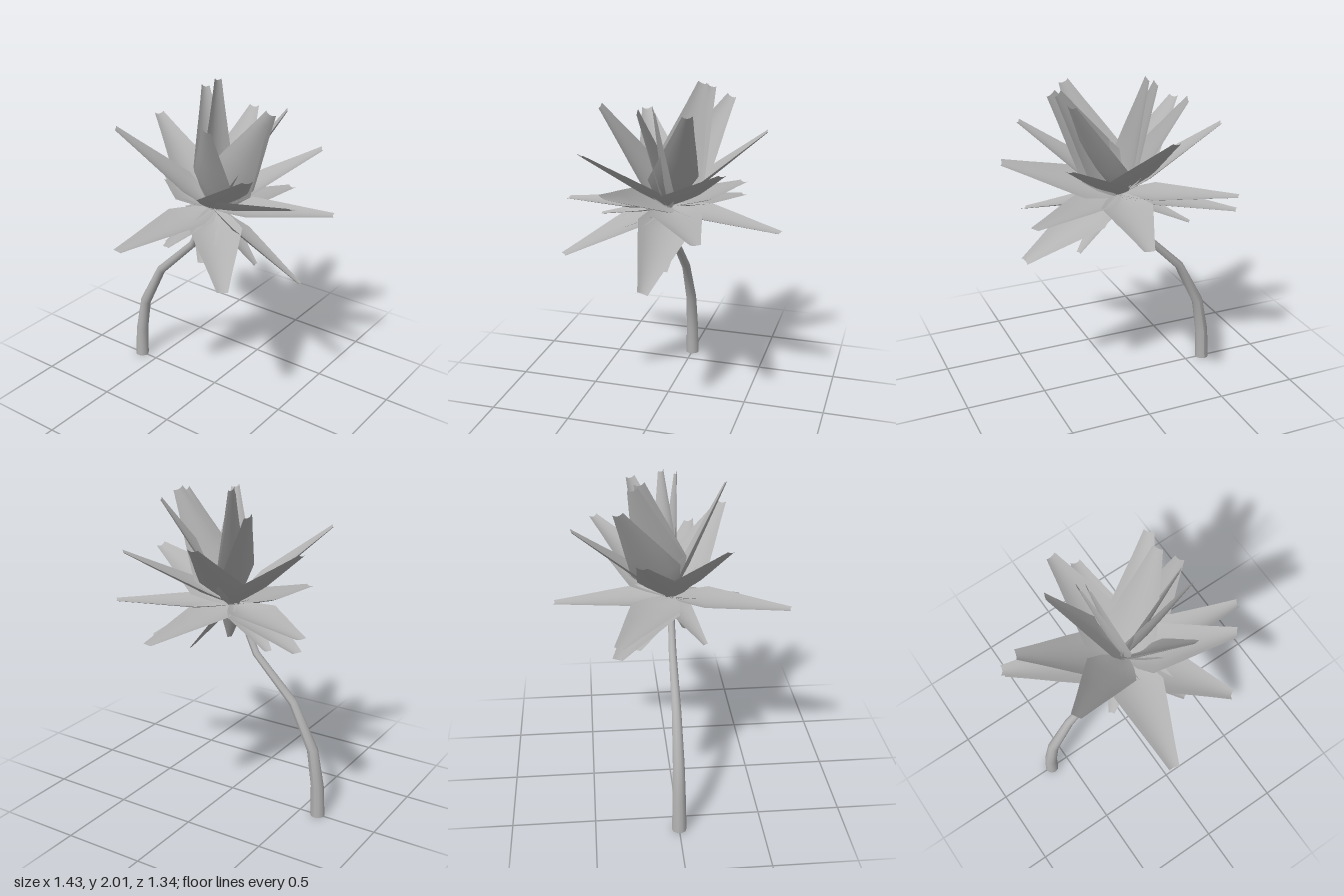
import * as THREE from 'three';

const grey = new THREE.MeshStandardMaterial({ color: 0xb2b2b2, side: THREE.DoubleSide });
grey.name = 'plain grey';

const CENTRE = new THREE.Vector3(0, 1.26, -0.01);
const UP = new THREE.Vector3(0, 1, 0);

// Grid of rows x cols points turned into a smooth surface
function surface(rows, cols, point) {
  const pos = [], index = [];
  for (let i = 0; i < rows; i++) for (let j = 0; j < cols; j++) {
    const p = point(i, j);
    pos.push(p.x, p.y, p.z);
    if (i < rows - 1 && j < cols - 1) {
      const a = i * cols + j, b = a + cols;
      index.push(a, a + 1, b, a + 1, b + 1, b);
    }
  }
  const g = new THREE.BufferGeometry();
  g.setAttribute('position', new THREE.Float32BufferAttribute(pos, 3));
  g.setIndex(index);
  g.computeVertexNormals();
  return g;
}

// Channelled petal: narrow foot, broad shoulder, straight taper to a blunt tip.
// Each petal may be rolled about its own length, in degrees.
const STATIONS = [[0, 0.03], [0.15, 0.105], [0.3, 0.155], [0.55, 0.112], [0.8, 0.066], [1, 0.031]];
function petal(x, y, z, roll = 0) {
  const along = new THREE.Vector3(x, y, z).sub(CENTRE);
  const length = along.length();
  const side = along.clone().cross(UP).normalize()
    .applyAxisAngle(along.clone().normalize(), THREE.MathUtils.degToRad(roll));
  const normal = side.clone().cross(along).normalize();
  const scale = Math.min(1, length / 0.65);
  const geometry = surface(STATIONS.length, 7, (i, j) => {
    const [t, half] = STATIONS[i];
    const u = j / 3 - 1;
    const w = half * scale;
    const notch = t === 1 ? 0.012 * (u * u - 0.5) : 0;
    return CENTRE.clone()
      .addScaledVector(along, t + notch)
      .addScaledVector(side, u * w)
      .addScaledVector(normal, w * 0.25 * (u * u - 0.4));
  });
  const mesh = new THREE.Mesh(geometry, grey);
  mesh.name = 'petal';
  return mesh;
}

// Petal tips: x, y, z, roll
const UPPER = [
  [0.18, 1.995, -0.11, 60], [0.22, 1.975, -0.145, 60], [0.31, 1.89, -0.3, 35],
  [0.21, 1.89, 0.36], [0.02, 1.92, 0.37, -65], [-0.07, 1.9, 0.38, -70],
  [-0.35, 1.89, 0.2, -36], [-0.37, 1.67, 0.49], [0.57, 1.73, -0.11],
  [0.44, 1.61, 0.47], [-0.29, 1.74, -0.51], [0.2, 1.69, -0.58], [-0.18, 1.49, 0.66, -20],
];
const LOWER = [
  [0.33, 1.26, 0.63], [0.02, 0.93, 0.6, -25], [-0.71, 1.21, -0.15], [0.7, 1.19, 0.11],
  [-0.51, 1.05, 0.43], [0.33, 1.26, -0.65], [0.34, 1.18, -0.63],
];
const INNER = [
  [0.05, 0.94, 0.27], [-0.09, 1.0, 0.08], [-0.19, 1.04, -0.23],
  [0.22, 1.1, -0.38], [-0.44, 1.17, -0.02], [-0.37, 1.1, 0.18],
];

// Stem sections: y, z, radius, tilt
const STEM = [
  [0, -0.62, 0.044, 0], [0.2, -0.612, 0.04, 0.1], [0.43, -0.572, 0.035, 0.32],
  [0.71, -0.43, 0.028, 0.66], [0.97, -0.17, 0.023, 0.6], [1.17, -0.075, 0.02, 0.5],
  [1.27, -0.01, 0.018, 0.5],
];

export function createModel() {
  const model = new THREE.Group();
  model.name = 'flower';

  const rings = { upperPetals: UPPER, lowerPetals: LOWER, innerPetals: INNER };
  for (const [name, tips] of Object.entries(rings)) {
    const group = new THREE.Group();
    group.name = name;
    for (const tip of tips) group.add(petal(...tip));
    model.add(group);
  }

  // Bent tapering stem
  const sides = 10;
  const stem = new THREE.Mesh(surface(STEM.length, sides + 1, (i, j) => {
    const [y, z, r, tilt] = STEM[i];
    const a = -(j / sides) * Math.PI * 2;
    const d = Math.sin(a) * r;
    return new THREE.Vector3(Math.cos(a) * r, y - d * Math.sin(tilt), z + d * Math.cos(tilt));
  }), grey);
  stem.name = 'stem';
  model.add(stem);

  // Cut end of the stem
  const end = new THREE.Mesh(new THREE.CircleGeometry(0.044, sides), grey);
  end.name = 'stemEnd';
  end.rotation.x = Math.PI / 2;
  end.position.set(0, 0, -0.62);
  model.add(end);

  return model;
}
